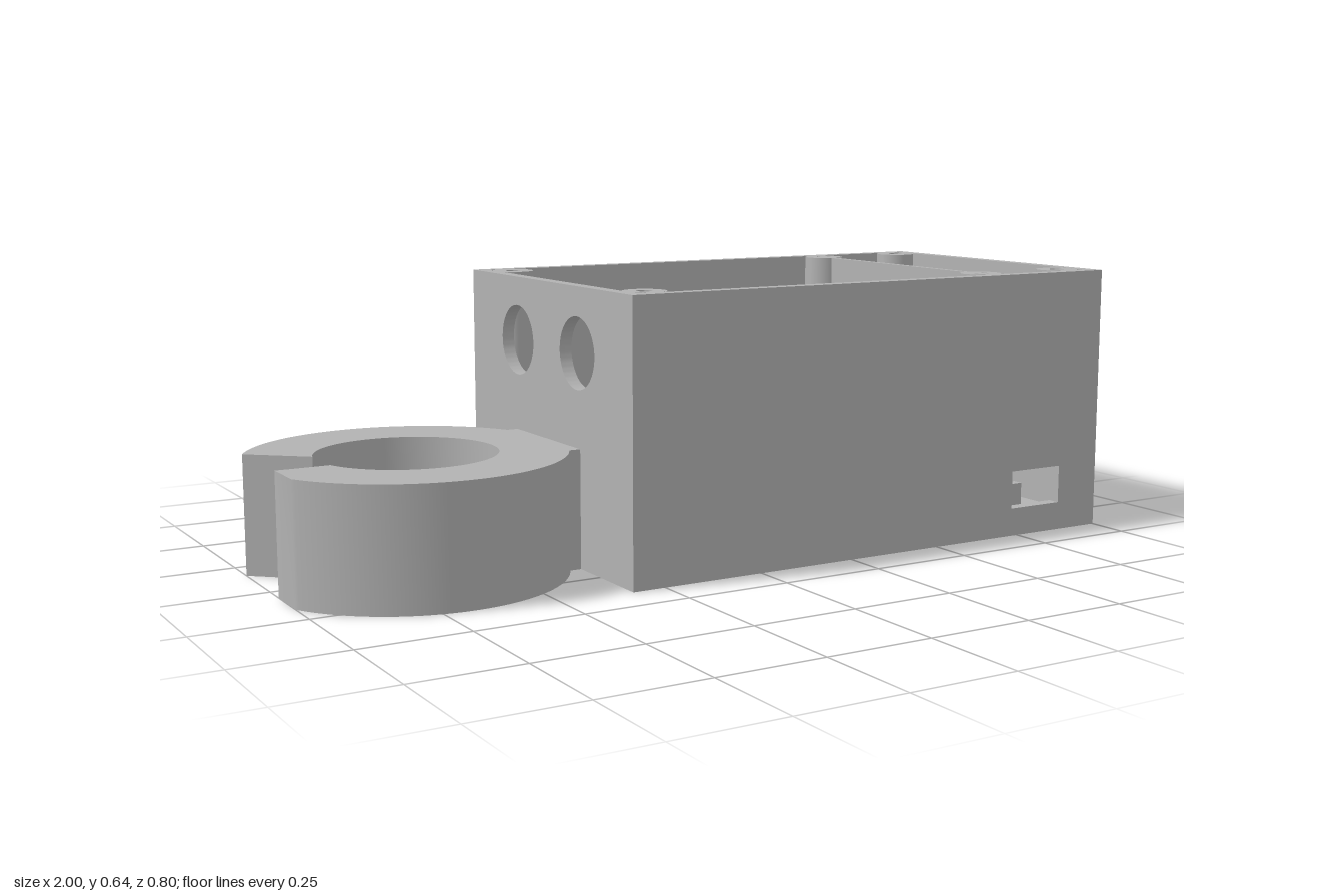
import * as THREE from 'three';
import { toCreasedNormals } from 'three/addons/utils/BufferGeometryUtils.js';

const HEIGHT = 0.64, FLOOR = 0.03;
const LEFT = -0.33, RIGHT = 1, HALF_DEPTH = 0.4, WALL = 0.03;

function rectPath(x0, y0, x1, y1, PathType = THREE.Path) {
  const p = new PathType();
  p.moveTo(x0, y0);
  p.lineTo(x1, y0);
  p.lineTo(x1, y1);
  p.lineTo(x0, y1);
  p.closePath();
  return p;
}

function extrude(shape, depth, holes = []) {
  shape.holes.push(...holes);
  const geo = new THREE.ExtrudeGeometry(shape, { depth, bevelEnabled: false, curveSegments: 40 });
  return toCreasedNormals(geo, 0.5);
}

// Round post with a blind screw hole in its top
function postGeometry(radius, bore, y0, y1, boreDepth) {
  const profile = [[0, y0], [radius, y0], [radius, y1], [bore, y1], [bore, y1 - boreDepth], [0, y1 - boreDepth]]
    .map(([x, y]) => new THREE.Vector2(x, y));
  return toCreasedNormals(new THREE.LatheGeometry(profile, 32), 0.5);
}

export function createModel() {
  const model = new THREE.Group();
  const grey = new THREE.MeshStandardMaterial({ color: 0xb2b2b2 });
  grey.name = 'grey plastic';

  const add = (name, geometry, x = 0, y = 0, z = 0) => {
    const mesh = new THREE.Mesh(geometry, grey);
    mesh.name = name;
    mesh.position.set(x, y, z);
    model.add(mesh);
    return mesh;
  };
  const addBox = (name, x0, x1, y0, y1, z0, z1) =>
    add(name, new THREE.BoxGeometry(x1 - x0, y1 - y0, z1 - z0), (x0 + x1) / 2, (y0 + y1) / 2, (z0 + z1) / 2);

  // Floor, plain end wall and inner divider
  const inner = HALF_DEPTH - WALL;
  addBox('floor', LEFT, RIGHT, 0, FLOOR, -HALF_DEPTH, HALF_DEPTH);
  addBox('endWall', RIGHT - WALL, RIGHT, 0, HEIGHT, -inner, inner);
  addBox('divider', 0.668, 0.684, FLOOR, HEIGHT, -inner, inner);

  // Front wall with socket opening
  const longWall = () => rectPath(LEFT, 0, RIGHT, HEIGHT, THREE.Shape);
  add('frontWall', extrude(longWall(), WALL, [rectPath(0.73, 0.068, 0.88, 0.16)]), 0, 0, inner);

  // Back wall with ventilation slots
  const slots = [];
  for (let i = 0; i < 5; i++) {
    const y = 0.088 + i * 0.0585;
    slots.push(rectPath(0.35, y, 0.6, y + 0.023));
  }
  add('backWall', extrude(longWall(), WALL, slots), 0, 0, -HALF_DEPTH);

  // Clamp-side wall with two cable holes
  const cableHoles = [-0.153, 0.147].map((z) => {
    const hole = new THREE.Path();
    hole.absarc(z, 0.49, 0.083, 0, Math.PI * 2);
    return hole;
  });
  const cableWall = extrude(rectPath(-inner, 0, inner, HEIGHT, THREE.Shape), WALL, cableHoles);
  cableWall.rotateY(-Math.PI / 2);
  add('cableWall', cableWall, LEFT + WALL, 0, 0);

  // Lid screw posts: short ones in the corners, full ones at the divider
  for (const z of [-0.325, 0.325]) {
    for (const x of [-0.258, 0.92]) add('cornerPost', postGeometry(0.05, 0.018, 0.37, HEIGHT, 0.16), x, 0, z);
    add('dividerPost', postGeometry(0.05, 0.018, FLOOR, HEIGHT, 0.16), 0.677, 0, z);
  }

  // Circuit board standoffs, locating pins and rails
  for (const x of [-0.255, 0.29]) add('standoff', postGeometry(0.05, 0.018, FLOOR, 0.1, 0.06), x, 0, -0.2);
  for (const [x, z] of [[-0.243, 0.03], [0.565, 0.03], [0.565, 0.305]])
    add('locatingPin', new THREE.CylinderGeometry(0.03, 0.03, 0.07, 32), x, FLOOR + 0.035, z);
  for (const z of [-0.01, 0.238]) addBox('boardRail', 0.72, 0.893, FLOOR, 0.09, z - 0.013, z + 0.013);

  // Open ring clamp with trimmed tips and a neck into the box
  const cx = -0.68, R = 0.36, r = 0.205, gap = 0.057, neck = 0.16;
  const tip = Math.acos((-1 - cx) / R), root = Math.asin(neck / R);
  const mouth = Math.PI - Math.asin(gap / r);
  const clamp = new THREE.Shape();
  clamp.moveTo(-1, gap);
  clamp.absarc(cx, 0, R, tip, root, true);
  clamp.lineTo(LEFT + 0.01, neck);
  clamp.lineTo(LEFT + 0.01, -neck);
  clamp.absarc(cx, 0, R, -root, -tip, true);
  clamp.lineTo(-1, -gap);
  clamp.absarc(cx, 0, r, -mouth, mouth, false);
  clamp.closePath();
  const clampGeo = extrude(clamp, 0.275);
  clampGeo.rotateX(-Math.PI / 2);
  add('ringClamp', clampGeo);

  return model;
}
